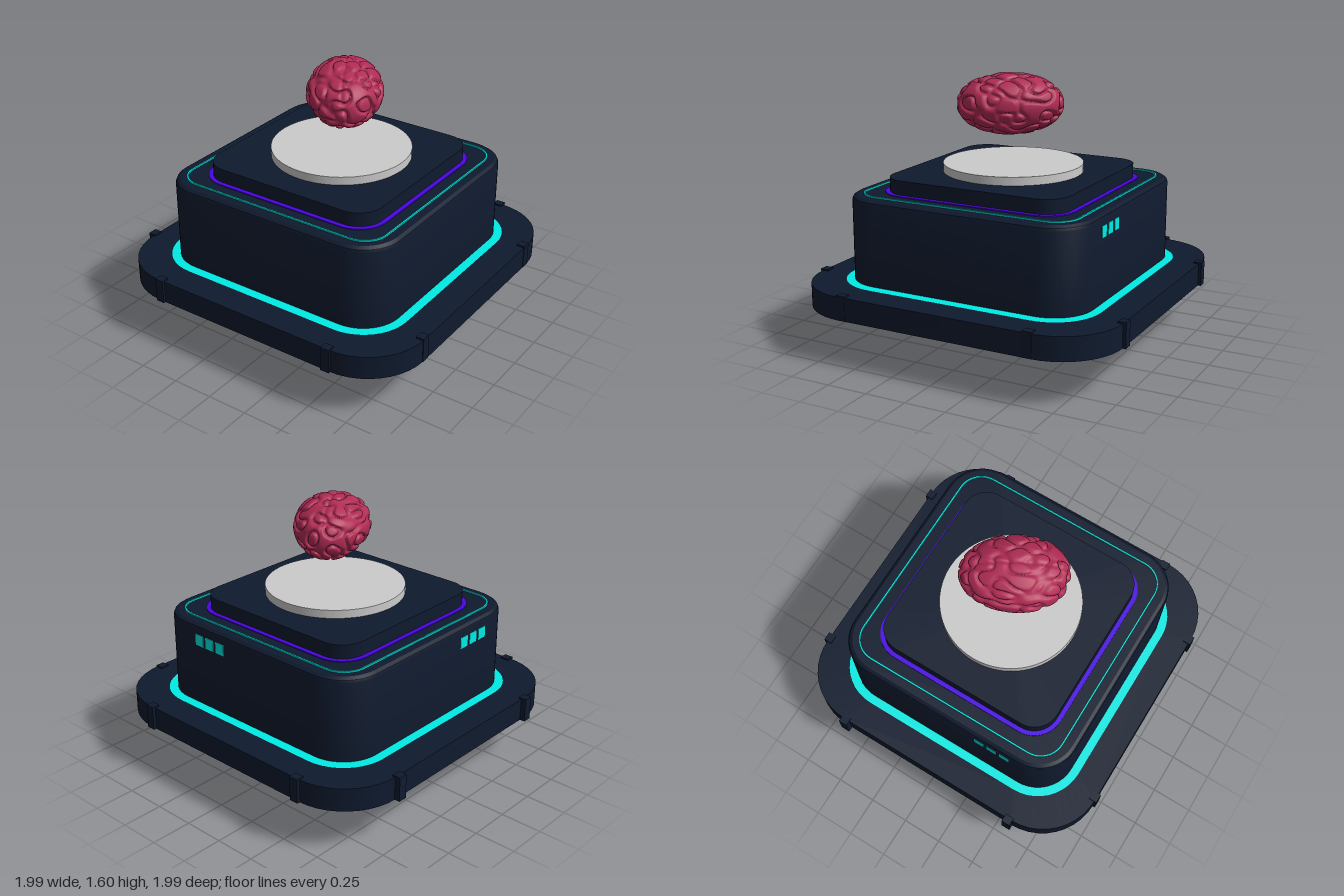
import * as THREE from 'three';
import { mergeVertices, toCreasedNormals } from 'three/addons/utils/BufferGeometryUtils.js';

const material = (color) => new THREE.MeshStandardMaterial({ color, side: THREE.DoubleSide });
const navy = material(0x0f1a2e);
const teal = material(0x00ebe5);
const purple = material(0x4a05e5);
const grey = material(0xcccccc);
const brainRed = material(0xb02c55);
const CX = 0.013; // centre line of the housing

// Skin through rounded squares, each level given as [half width, corner radius, y]
function loft(levels, arc = 10) {
  const positions = [], index = [], count = 4 * (arc + 1);
  for (const [half, radius, y] of levels) {
    for (let c = 0; c < 4; c++) {
      const sx = c === 0 || c === 3 ? 1 : -1, sz = c < 2 ? 1 : -1;
      for (let j = 0; j <= arc; j++) {
        const a = (c + j / arc) * Math.PI / 2;
        positions.push(sx * (half - radius) + radius * Math.cos(a), y, sz * (half - radius) + radius * Math.sin(a));
      }
    }
  }
  for (let i = 0; i < levels.length - 1; i++) {
    for (let k = 0; k < count; k++) {
      const a = i * count + k, b = i * count + (k + 1) % count;
      index.push(a, a + count, b, a + count, b + count, b);
    }
  }
  const geometry = new THREE.BufferGeometry();
  geometry.setAttribute('position', new THREE.Float32BufferAttribute(positions, 3));
  geometry.setIndex(index);
  return toCreasedNormals(geometry, 0.5);
}

function add(parent, name, geometry, mat, x = 0, y = 0, z = 0) {
  const mesh = new THREE.Mesh(geometry, mat);
  mesh.name = name;
  mesh.position.set(x, y, z);
  parent.add(mesh);
  return mesh;
}

// Thin raised strip following a rounded square
const strip = (outer, radius, width, y, height) => loft([
  [outer, radius, y], [outer, radius, y + height],
  [outer - width, radius - width, y + height], [outer - width, radius - width, y],
]);

// Shield-shaped prong whose pointed lower end bends inwards
function prongGeometry() {
  const s = new THREE.Shape();
  s.moveTo(-0.14, 0.31);
  s.lineTo(-0.14, 0.15);
  s.quadraticCurveTo(-0.13, 0.06, 0, 0.01);
  s.quadraticCurveTo(0.13, 0.06, 0.14, 0.15);
  s.lineTo(0.14, 0.31);
  const g = new THREE.ExtrudeGeometry(s, {
    depth: 0.04, bevelThickness: 0.02, bevelSize: 0.01, bevelSegments: 1, curveSegments: 8,
  });
  const p = g.attributes.position;
  for (let i = 0; i < p.count; i++) {
    const low = Math.max(0, 0.14 - p.getY(i)) / 0.14;
    p.setZ(i, p.getZ(i) + 0.16 - 0.04 * low * low);
  }
  return toCreasedNormals(g, 0.5);
}

// Egg-shaped body with winding folds cut along the zero lines of summed waves
function brainGeometry() {
  let g = new THREE.IcosahedronGeometry(1, 42);
  g.deleteAttribute('uv');
  g.deleteAttribute('normal');
  g = mergeVertices(g, 1e-4);
  const waves = Array.from({ length: 9 }, (_, i) => {
    const y = 1 - 2 * (i + 0.5) / 9, a = i * 2.39996, r = Math.sqrt(1 - y * y);
    return { d: new THREE.Vector3(r * Math.cos(a), y, r * Math.sin(a)), phase: i * i * 1.7 };
  });
  const p = g.attributes.position, v = new THREE.Vector3();
  for (let i = 0; i < p.count; i++) {
    v.fromBufferAttribute(p, i);
    let f = 0;
    for (const { d, phase } of waves) f += Math.sin(13 * v.dot(d) + phase);
    const fold = Math.exp(-((f / 1.1) ** 2));
    const fissure = v.y > 0 ? Math.exp(-((v.x / 0.05) ** 2)) * v.y : 0;
    const s = 1.01 - 0.075 * fold - 0.04 * fissure;
    const taper = 1 + 0.05 * v.z + (v.y < 0 ? 0.12 * v.y : 0);
    const y = Math.sign(v.y) * Math.abs(v.y) ** 0.9;
    p.setXYZ(i, v.x * s * 0.222 * taper, y * s * 0.18, v.z * s * 0.312);
  }
  g.computeVertexNormals();
  return g;
}

export function createModel() {
  const model = new THREE.Group();
  model.name = 'brainPedestal';

  // Open-bottomed base plate; the edge clips stand out furthest at -x
  const base = new THREE.Group();
  base.name = 'basePlate';
  base.position.x = CX;
  model.add(base);
  add(base, 'baseShell', loft([[0.977, 0.37, 0.27], [0.977, 0.37, 0.41], [0.8, 0.28, 0.41]]), navy);
  [0.992, 0.98, 0.996, 1.01].forEach((reach, i) => {
    const side = new THREE.Group();
    side.name = 'baseSide';
    side.rotation.y = i * Math.PI / 2;
    base.add(side);
    for (const x of [-0.59, 0.59]) {
      add(side, 'edgeClip', new THREE.BoxGeometry(0.055, 0.148, 0.05), navy, x, 0.345, reach - 0.025);
    }
  });
  add(base, 'baseLightBand', loft([[0.81, 0.29, 0.413], [0.74, 0.22, 0.413]]), teal);

  // Floor under the housing, stepping down to the slab that carries the prongs
  add(base, 'prongCarrier', loft([
    [0.011, 0.01, 0.315], [0.45, 0.11, 0.315], [0.45, 0.11, 0.29],
    [0.53, 0.14, 0.29], [0.53, 0.14, 0.402], [0.757, 0.24, 0.402],
  ]), navy);

  // Hollow housing with a bevelled top edge
  const housing = new THREE.Group();
  housing.name = 'housing';
  housing.position.x = CX;
  model.add(housing);
  add(housing, 'housingShell', loft([
    [0.758, 0.24, 0.418], [0.758, 0.24, 0.896], [0.752, 0.235, 0.912], [0.733, 0.22, 0.925], [0.5, 0.12, 0.925],
  ]), navy);
  add(housing, 'thinLightLine', strip(0.685, 0.15, 0.01, 0.924, 0.01), teal);
  add(housing, 'purpleLightBand', strip(0.603, 0.18, 0.027, 0.924, 0.007), purple);
  add(housing, 'upperStep', loft([
    [0.575, 0.15, 0.925], [0.575, 0.15, 1.015], [0.011, 0.01, 1.015],
  ]), navy);

  // Rows of small lit vents on the back and the right side
  for (let i = -1; i <= 1; i++) {
    add(housing, 'backVent', new THREE.BoxGeometry(0.065, 0.07, 0.006), teal, 0.3 + i * 0.085, 0.83, -0.758);
    add(housing, 'sideVent', new THREE.BoxGeometry(0.006, 0.07, 0.065), teal, -0.758, 0.83, 0.34 + i * 0.085);
  }

  // Round display disc
  add(model, 'displayDisc', new THREE.CylinderGeometry(0.417, 0.417, 0.05, 64), grey, 0.027, 1.042, 0);

  // Four hanging prongs, the ones at +z and -x set further out and turned a little
  const prong = prongGeometry();
  const placements = [[0.015, 0.015, 0.15], [0.005, 0, 0], [0.015, 0.015, 0], [-0.045, 0, 0.25]];
  placements.forEach(([x, z, turn], i) => {
    add(model, 'prong', prong, grey, x, 0, z).rotation.y = i * Math.PI / 2 + turn;
  });

  // Floating brain
  const brain = add(model, 'brain', brainGeometry(), brainRed, 0.055, 1.418, 0.005);
  brain.rotation.y = Math.PI / 6;
  return model;
}
